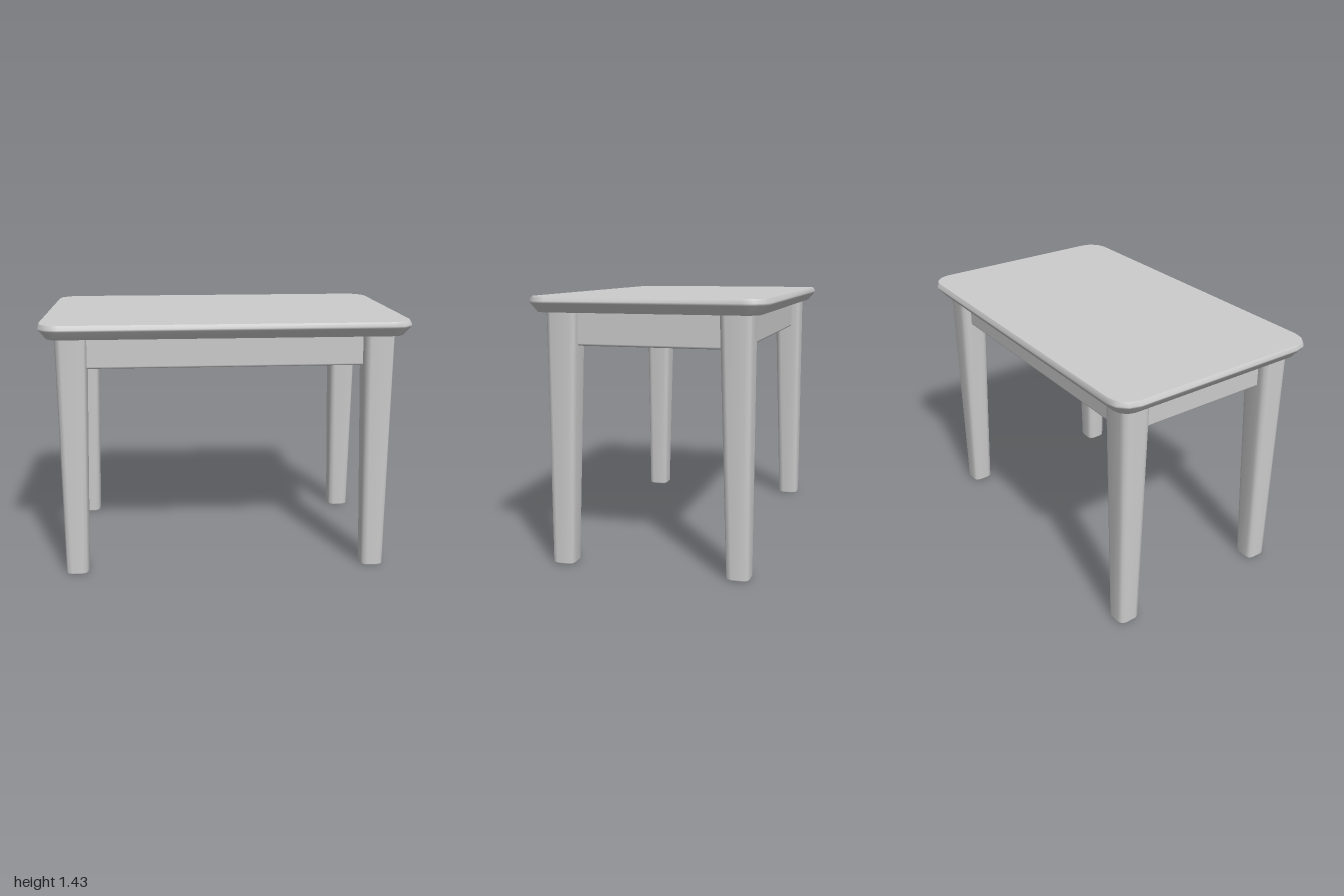
import * as THREE from 'three';
import { RoundedBoxGeometry } from 'three/addons/geometries/RoundedBoxGeometry.js';

const material = new THREE.MeshStandardMaterial({ color: 0xcccccc });

// Outline of a rounded rectangle, running from +x towards +z
function outline({ x0, x1, z0, z1, r, y }, segments) {
  const points = [];
  const corners = [[x1 - r, z1 - r], [x0 + r, z1 - r], [x0 + r, z0 + r], [x1 - r, z0 + r]];
  corners.forEach(([cx, cz], k) => {
    for (let i = 0; i <= segments; i++) {
      const a = (k + i / segments) * Math.PI / 2;
      points.push([cx + r * Math.cos(a), y, cz + r * Math.sin(a)]);
    }
  });
  return points;
}

// Smooth sides through rings listed bottom to top, closed by flat caps
function loft(rings, segments) {
  const loops = rings.map(ring => outline(ring, segments));
  const n = loops[0].length;
  const positions = loops.flat(2);
  const index = [];
  for (let j = 0; j < loops.length - 1; j++) {
    for (let i = 0; i < n; i++) {
      const a = j * n + i, b = j * n + (i + 1) % n;
      index.push(a, a + n, b, b, a + n, b + n);
    }
  }
  [loops[0], loops[loops.length - 1]].forEach((loop, top) => {
    const base = positions.length / 3;
    positions.push(...loop.flat());
    for (let i = 1; i < n - 1; i++) {
      if (top) index.push(base, base + i + 1, base + i);
      else index.push(base, base + i, base + i + 1);
    }
  });
  const geometry = new THREE.BufferGeometry();
  geometry.setAttribute('position', new THREE.Float32BufferAttribute(positions, 3));
  geometry.setIndex(index);
  geometry.computeVertexNormals();
  return geometry;
}

export function createModel() {
  const table = new THREE.Group();
  table.name = 'table';
  const add = (name, geometry, x = 0, y = 0, z = 0) => {
    const mesh = new THREE.Mesh(geometry, material);
    mesh.name = name;
    mesh.position.set(x, y, z);
    table.add(mesh);
  };

  // Tabletop with a rounded, undercut rim: [inset, height]
  const rim = [[0.045, 1.35], [0.005, 1.397], [0, 1.408], [0.013, 1.43]];
  add('tabletop', loft(rim.map(([d, y]) => ({
    x0: d - 1, x1: 1 - d, z0: d - 0.625, z1: 0.625 - d, r: 0.12 - d, y,
  })), 3));

  // Legs, straight outside and tapered on the two inner faces
  for (const sx of [1, -1]) {
    for (const sz of [1, -1]) {
      const ring = (inset, width, y) => {
        const xs = [0.91 - inset, 0.91 - width + inset].map(v => v * sx);
        const zs = [0.54 - inset, 0.54 - width + inset].map(v => v * sz);
        return {
          x0: Math.min(...xs), x1: Math.max(...xs),
          z0: Math.min(...zs), z1: Math.max(...zs), r: 0.032 - inset, y,
        };
      };
      const name = (sz > 0 ? 'front' : 'back') + (sx > 0 ? 'Left' : 'Right') + 'Leg';
      add(name, loft([ring(0.008, 0.125, 0), ring(0, 0.125, 0.01), ring(0, 0.166, 1.352)], 2));
    }
  }

  // Aprons between the legs, set slightly back from their outer faces
  const height = 0.18, thick = 0.07, y = 1.175 + height / 2;
  for (const s of [1, -1]) {
    add(s > 0 ? 'frontApron' : 'backApron',
      new RoundedBoxGeometry(1.6, height, thick, 2, 0.012), 0, y, s * 0.45);
    add(s > 0 ? 'leftApron' : 'rightApron',
      new RoundedBoxGeometry(thick, height, 0.86, 2, 0.012), s * 0.825, y, 0);
  }
  return table;
}
